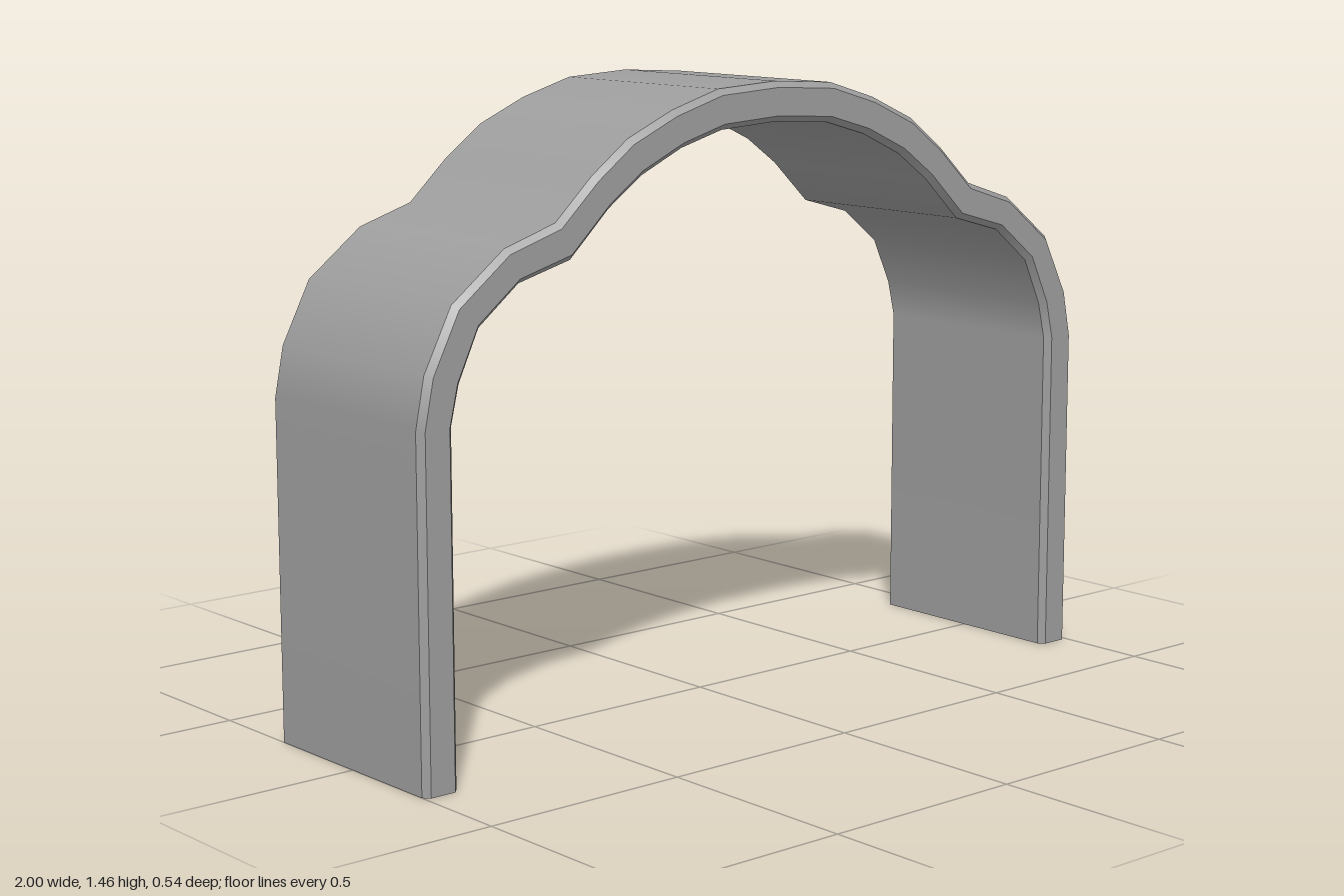
import * as THREE from 'three';

// Half profile, foot to crown: outer x, outer y, inner x, inner y
const HALF = [
  [1, 0, 0.91, 0],
  [1, 0.785, 0.91, 0.785],
  [0.977, 0.9, 0.889, 0.873],
  [0.905, 1.04, 0.836, 0.986],
  [0.767, 1.146, 0.73, 1.07],
  [0.63, 1.19, 0.591, 1.108],
  [0.53, 1.283, 0.484, 1.21],
  [0.43, 1.357, 0.393, 1.275],
  [0.305, 1.412, 0.278, 1.328],
  [0.17, 1.452, 0.161, 1.361],
  [0, 1.462, 0, 1.371],
];
const DEPTH = 0.272, CHAMFER = 0.015;

// Cross-section of the band: [share of the way from outer to inner, z]
const BEVEL = 0.15;
const SECTION = [
  [0, -DEPTH], [0, DEPTH - CHAMFER], [BEVEL, DEPTH],
  [1 - BEVEL, DEPTH], [1, DEPTH - CHAMFER], [1, -DEPTH],
];

export function createModel() {
  const group = new THREE.Group();
  group.name = 'archBand';
  const material = new THREE.MeshStandardMaterial({ color: 0x9d9d9d });

  // Mirror the half profile into a path running from the -x foot to the +x foot
  const path = [
    ...HALF.map(([a, b, c, d]) => [-a, b, -c, d]),
    ...HALF.slice(0, -1).reverse(),
  ];
  const rings = path.map(([ox, oy, ix, iy]) =>
    SECTION.map(([t, z]) => [ox + (ix - ox) * t, oy + (iy - oy) * t, z]));

  const addMesh = (name, points, index) => {
    const geometry = new THREE.BufferGeometry();
    geometry.setAttribute('position', new THREE.Float32BufferAttribute(points.flat(), 3));
    geometry.setIndex(index);
    geometry.computeVertexNormals();
    // Share one normal across each pair of points so the shading runs straight
    const normals = geometry.attributes.normal;
    const a = new THREE.Vector3(), b = new THREE.Vector3();
    for (let i = 0; i < normals.count; i += 2) {
      a.fromBufferAttribute(normals, i);
      b.fromBufferAttribute(normals, i + 1);
      a.add(b).normalize();
      normals.setXYZ(i, a.x, a.y, a.z);
      normals.setXYZ(i + 1, a.x, a.y, a.z);
    }
    const mesh = new THREE.Mesh(geometry, material);
    mesh.name = name;
    group.add(mesh);
  };

  // One strip per side: smooth along the arch, sharp between sides
  const names = ['outerSurface', 'outerChamfer', 'frontRim', 'innerChamfer', 'innerSurface', 'backRim'];
  names.forEach((name, k) => {
    const next = (k + 1) % SECTION.length;
    const points = [], index = [];
    rings.forEach((ring, i) => {
      points.push(ring[k], ring[next]);
      if (i) {
        const a = 2 * i - 2;
        index.push(a, a + 1, a + 3, a, a + 3, a + 2);
      }
    });
    addMesh(name, points, index);
  });

  // Flat undersides of the two feet
  const fan = [0, 1, 2, 0, 2, 3, 0, 3, 4, 0, 4, 5];
  addMesh('rightFoot', rings[0], [...fan].reverse());
  addMesh('leftFoot', rings[rings.length - 1], fan);
  return group;
}
